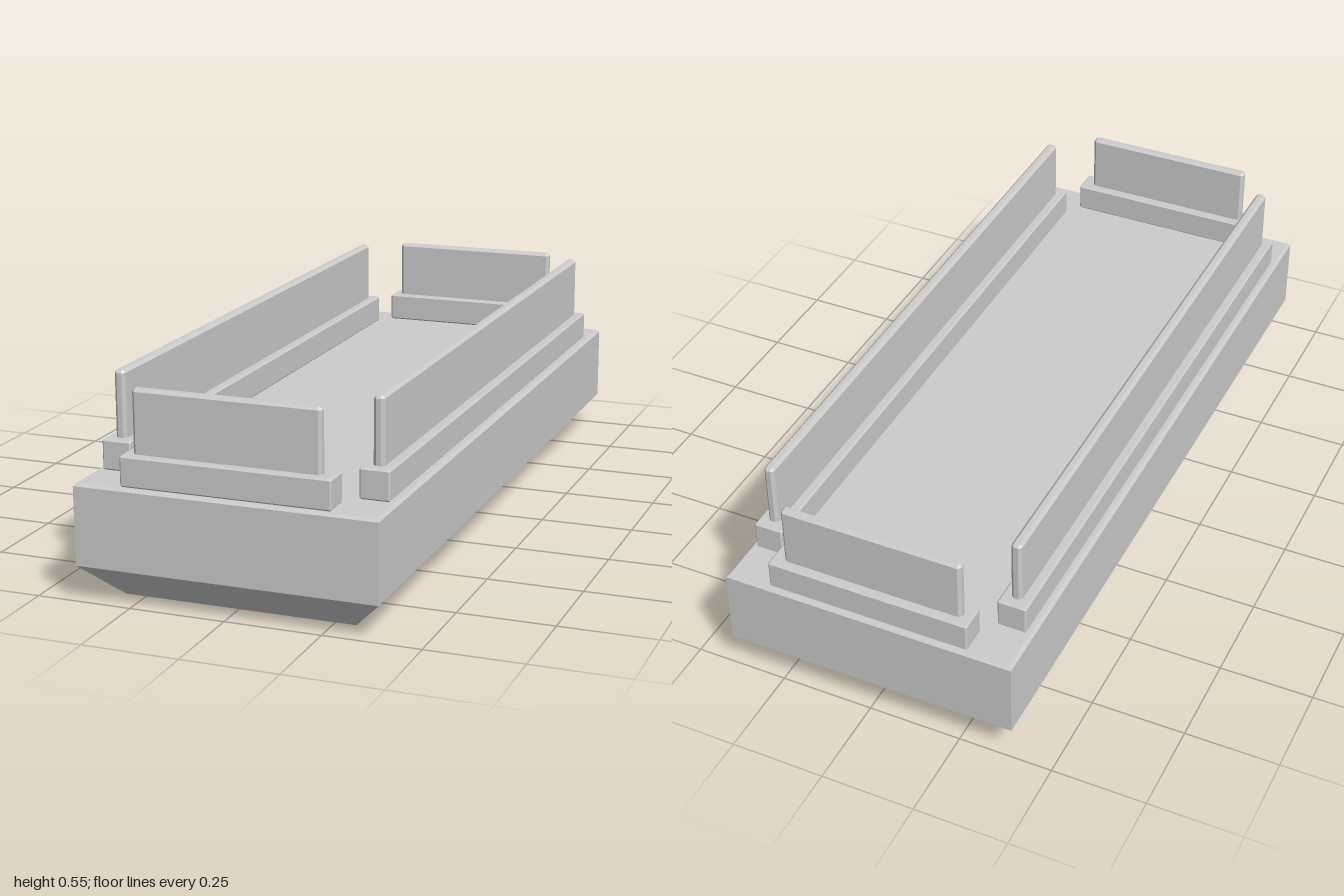
import * as THREE from 'three';
import { ConvexGeometry } from 'three/addons/geometries/ConvexGeometry.js';

const material = new THREE.MeshStandardMaterial({ color: 0xcccccc, flatShading: true });

function hullMesh(name, points) {
  const mesh = new THREE.Mesh(new ConvexGeometry(points), material);
  mesh.name = name;
  return mesh;
}

// Four corners of a rectangle at height y
function ring(y, hx, hz) {
  return [[-1, -1], [1, -1], [1, 1], [-1, 1]].map(([sx, sz]) => new THREE.Vector3(sx * hx, y, sz * hz));
}

// Box from y0 to y1 with every edge chamfered by c
function chamferBox(name, hx, y0, y1, hz, c) {
  return hullMesh(name, [
    ...ring(y0, hx - c, hz - c),
    ...ring(y0 + c, hx, hz - c), ...ring(y0 + c, hx - c, hz),
    ...ring(y1 - c, hx, hz - c), ...ring(y1 - c, hx - c, hz),
    ...ring(y1, hx - c, hz - c),
  ]);
}

export function createModel() {
  const model = new THREE.Group();
  model.name = 'walledPlatform';

  // Base slab with a tapered underside and a fine top bevel
  model.add(hullMesh('base', [
    ...ring(0, 0.304, 0.911),
    ...ring(0.092, 0.393, 1),
    ...ring(0.295, 0.393, 1),
    ...ring(0.303, 0.385, 0.992),
  ]));

  for (const s of [1, -1]) {
    // Long walls along the left and right
    const side = new THREE.Group();
    side.name = s > 0 ? 'leftWall' : 'rightWall';
    side.position.x = s * 0.337;
    side.add(chamferBox('sidePlinth', 0.0385, 0.303, 0.381, 0.877, 0.004));
    side.add(chamferBox('sidePanel', 0.0145, 0.365, 0.553, 0.851, 0.008));
    model.add(side);

    // Short walls across the front and back
    const end = new THREE.Group();
    end.name = s > 0 ? 'frontWall' : 'backWall';
    end.position.z = s * 0.952;
    end.add(chamferBox('endPlinth', 0.272, 0.303, 0.381, 0.0375, 0.004));
    const panel = chamferBox('endPanel', 0.243, 0.365, 0.544, 0.0135, 0.008);
    panel.position.x = -0.004;
    end.add(panel);
    model.add(end);
  }
  return model;
}
